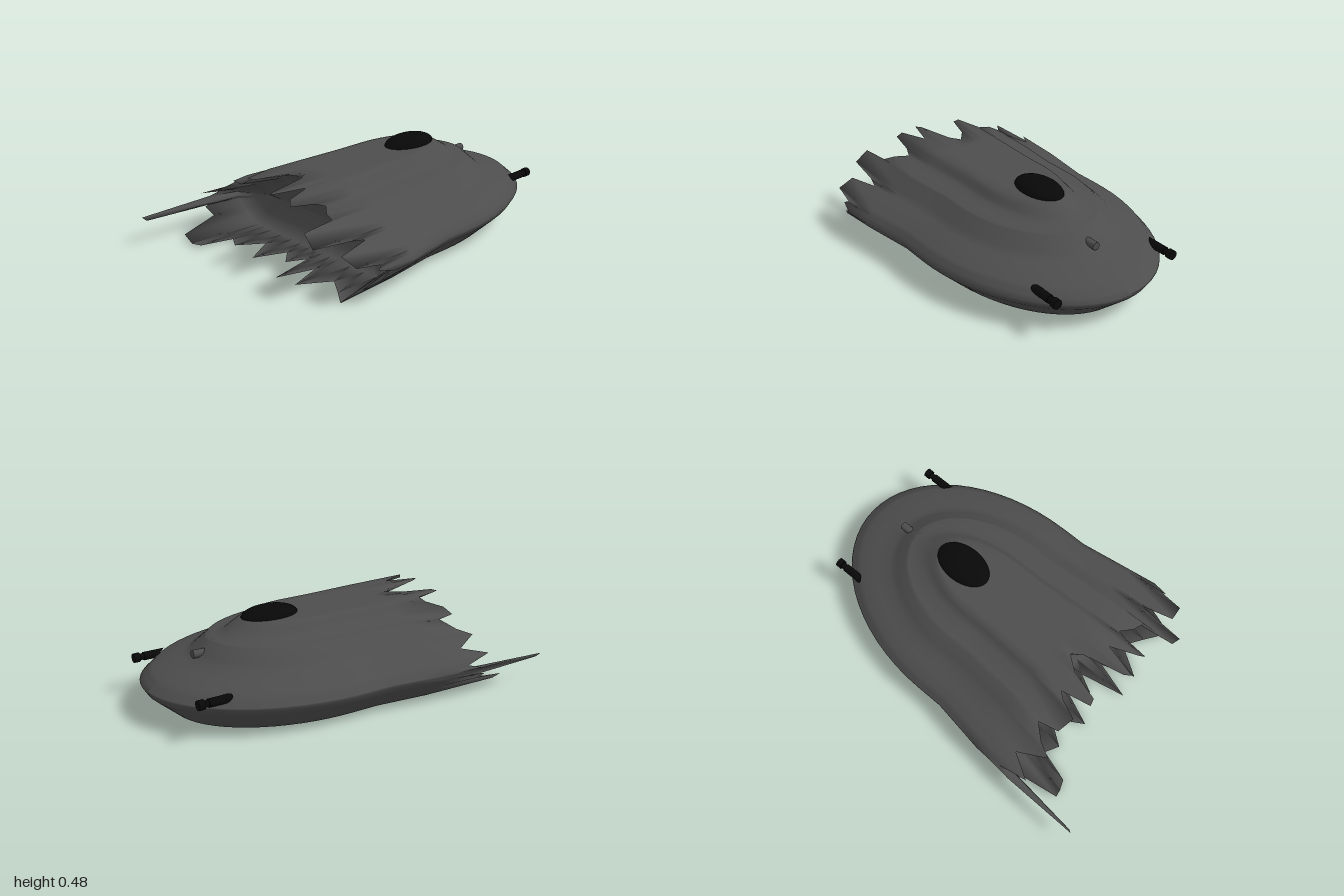
import * as THREE from 'three';
import { mergeVertices } from 'three/addons/utils/BufferGeometryUtils.js';

const hullMat = new THREE.MeshStandardMaterial({ color: 0x4d4d4d, side: THREE.DoubleSide });
const blackMat = new THREE.MeshStandardMaterial({ color: 0x080808 });

// Hull levels from keel to top deck: half width at the tail, height, z of the nose
const LEVELS = [
  [0.52, 0.008, -0.84], [0.655, 0.125, -0.975], [0.68, 0.165, -1.0], [0.63, 0.222, -0.93],
  [0.48, 0.276, -0.74], [0.38, 0.36, -0.64], [0.26, 0.375, -0.57], [0.20, 0.44, -0.46],
];

// Torn edge: [place around the section, z where the plating ends]
// 0-7 left side upwards, 7-8 top deck, 8-15 right side downwards, 15-16 belly
const TORN = [
  [0, 0.7], [0.2, 0.72], [0.5, 0.57], [0.75, 0.66], [1, 0.57], [1.5, 0.56], [2, 0.5], [2.4, 0.59],
  [2.65, 0.56], [3, 0.7], [3.6, 0.71], [3.85, 0.52], [4, 0.6], [4.2, 0.81], [4.9, 0.8], [5, 0.62],
  [5.5, 0.6], [6, 0.55], [6.3, 0.6], [6.6, 0.74], [7, 0.72], [7.15, 0.57], [7.27, 0.75],
  [7.33, 0.72], [7.45, 0.5], [7.55, 0.44], [7.7, 0.52], [7.82, 0.68], [7.92, 0.69], [8, 0.53],
  [8.4, 0.56], [9, 0.66], [9.8, 0.64], [10, 0.53], [10.6, 0.6], [11, 0.68], [11.5, 0.53],
  [12, 0.66], [12.5, 0.5], [12.9, 0.58], [13, 1.0], [13.5, 0.98], [13.75, 0.58], [14, 0.62],
  [14.35, 0.6], [14.65, 0.82], [15, 0.81], [15.05, 0.79], [15.1, 0.62], [15.17, 0.66],
  [15.26, 0.53], [15.35, 0.69], [15.42, 0.52], [15.5, 0.6], [15.55, 0.5], [15.6, 0.75],
  [15.66, 0.55], [15.72, 0.73], [15.82, 0.57], [15.92, 0.64], [16, 0.7],
];
const MID = -0.1;   // where the rounded nose meets the tail
const CORE_Y = 0.2; // height the bulkhead closes towards

// Level values and signed width at a place around the section
function sectionAt(u) {
  const last = LEVELS.length - 1;
  if (u > 7 && u < 8) return { level: LEVELS[last], side: 1 - 2 * (u - 7) };
  if (u > 15) return { level: LEVELS[0], side: -1 + 2 * (u - 15) };
  const h = u <= 7 ? u : 15 - u;
  const i = Math.min(Math.floor(h), last - 1);
  const level = LEVELS[i].map((v, k) => THREE.MathUtils.lerp(v, LEVELS[i + 1][k], h - i));
  return { level, side: u <= 7 ? 1 : -1 };
}

// Loops of the hull: nose quarter ellipses, flaring tail, torn edge, recessed bulkhead
function hullLoops() {
  const loops = [];
  const noseRows = 16;
  for (let r = 0; r <= noseRows; r++) {
    const a = (r / noseRows) * Math.PI / 2;
    loops.push(({ level: [w, y, front], side }) =>
      [side * w * 0.9 * Math.sin(a), y, MID - (MID - front) * Math.cos(a)]);
  }
  const tail = (w, side, y, z) =>
    [side * w * (0.9 + 0.1 * THREE.MathUtils.clamp((z - 0.05) / 0.45, 0, 1)), y, z];
  for (const z of [0.05, 0.2, 0.35]) {
    loops.push(({ level: [w, y], side }) => tail(w, side, y, z));
  }
  loops.push(({ level: [w, y], side }, end) => tail(w, side, y, end));
  // Inner faces of the torn plating: [width scale, height scale, z]
  for (const [sx, sy, z] of [[0.92, 0.86, 0.43], [0.75, 0.5, 0.39], [0.6, 0, 0.37]]) {
    loops.push(({ level: [w, y], side }) => [side * w * sx, CORE_Y + (y - CORE_Y) * sy, z]);
  }
  return loops;
}

function hullGeometry() {
  const loops = hullLoops(), n = TORN.length;
  const pos = [], index = [];
  for (const loop of loops) {
    for (const [u, end] of TORN) pos.push(...loop(sectionAt(u), end));
  }
  for (let r = 0; r < loops.length - 1; r++) {
    for (let i = 0; i < n - 1; i++) {
      const a = r * n + i, b = a + 1, c = a + n, d = c + 1;
      index.push(a, b, d, a, d, c);
    }
  }
  const geo = new THREE.BufferGeometry();
  geo.setAttribute('position', new THREE.Float32BufferAttribute(pos, 3));
  geo.setIndex(index);
  const merged = mergeVertices(geo);
  merged.computeVertexNormals();
  return merged;
}

// Rod along z whose rear end is cut at a slant to sit on the hull skin
function slantedRod(radius, front, rear, slopeX, slopeY) {
  const geo = new THREE.CylinderGeometry(radius, radius, 1, 16);
  geo.rotateX(Math.PI / 2);
  const p = geo.attributes.position;
  for (let i = 0; i < p.count; i++) {
    p.setZ(i, p.getZ(i) < 0 ? front : rear + slopeX * p.getX(i) + slopeY * p.getY(i));
  }
  return geo;
}

function add(parent, name, geo, mat, x, y, z) {
  const mesh = new THREE.Mesh(geo, mat);
  mesh.name = name;
  mesh.position.set(x, y, z);
  parent.add(mesh);
  return mesh;
}

// Nose gun: slanted housing, barrel and wider muzzle
function gun(name, side) {
  const g = new THREE.Group();
  g.name = name;
  add(g, 'gunHousing', slantedRod(0.022, -0.855, -0.76, side * 0.8, 1), blackMat, 0, 0, 0);
  add(g, 'gunBarrel', slantedRod(0.017, -0.89, -0.85, 0, 0), blackMat, 0, 0, 0);
  add(g, 'gunMuzzle', slantedRod(0.025, -0.91, -0.878, 0, 0), blackMat, 0, 0, 0);
  g.position.set(side * 0.366, 0.207, 0);
  return g;
}

export function createModel() {
  const model = new THREE.Group();
  model.name = 'wreckedShip';
  add(model, 'hull', hullGeometry(), hullMat, 0, 0, 0);

  // Dark canopy dome on the top deck
  const dome = new THREE.SphereGeometry(1, 32, 12, 0, Math.PI * 2, 0, Math.PI / 2);
  add(model, 'canopy', dome, blackMat, 0, 0.44, -0.3).scale.set(0.1, 0.05, 0.16);

  // Small sensor on the nose
  add(model, 'noseSensor', slantedRod(0.021, -0.748, -0.7, 0, 0.9), hullMat, 0, 0.31, 0);

  model.add(gun('leftGun', 1), gun('rightGun', -1));
  return model;
}
